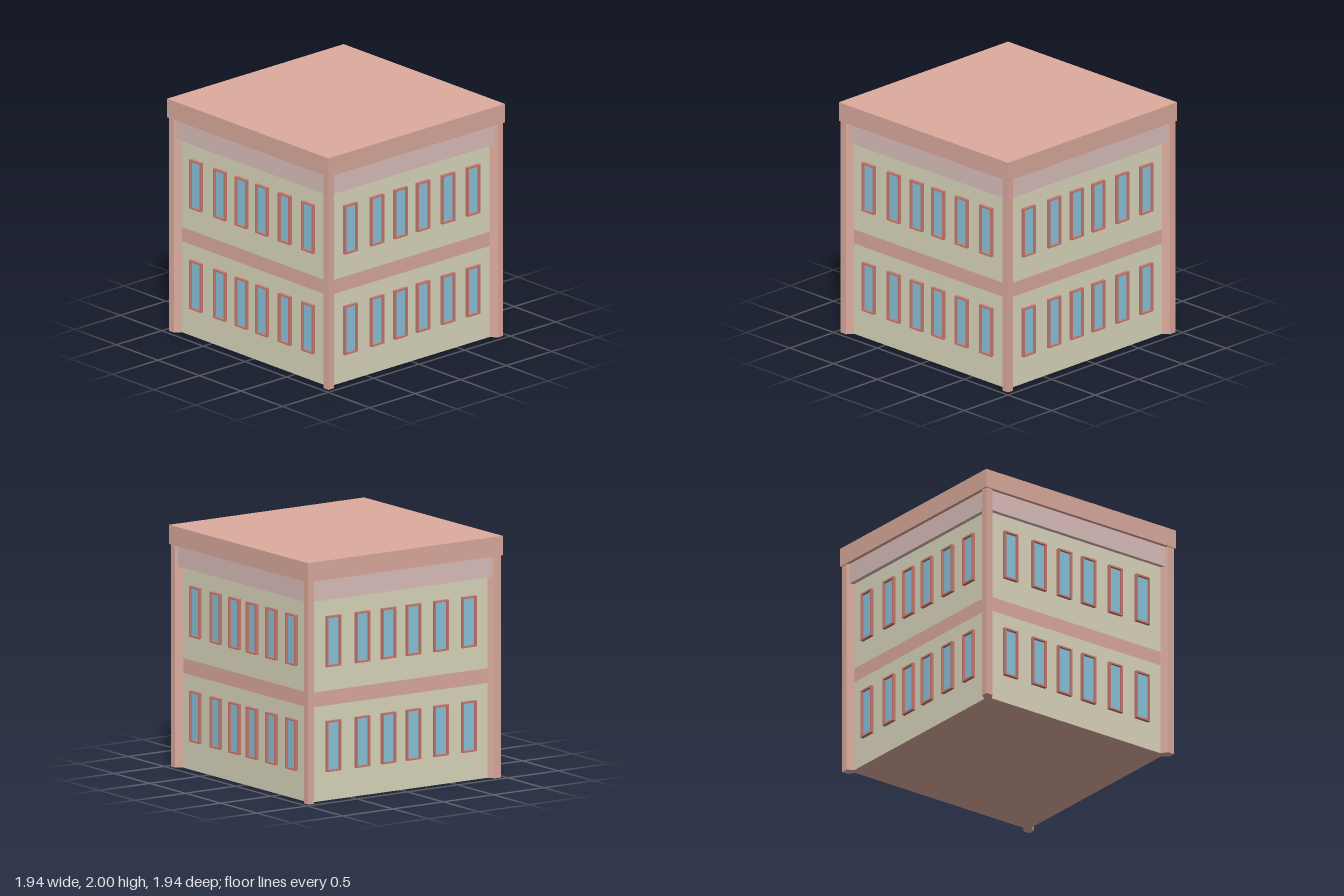
import * as THREE from 'three';

const material = (color) => new THREE.MeshStandardMaterial({ color });
const terracotta = material(0xdcab9d);
const cream = material(0xdcd8be);
const palePink = material(0xdcc0bc);
const trimRed = material(0xc97a70);
const glassBlue = material(0x8cc5dc);

const WALL = 0.905; // half width of the walls
const EAVES = 1.84; // underside of the roof slab

function add(parent, name, geometry, mat, x = 0, y = 0, z = 0) {
  const mesh = new THREE.Mesh(geometry, mat);
  mesh.name = name;
  mesh.position.set(x, y, z);
  parent.add(mesh);
  return mesh;
}

// Square block spanning two heights
function storey(parent, name, half, y0, y1, mat) {
  add(parent, name, new THREE.BoxGeometry(half * 2, y1 - y0, half * 2), mat, 0, (y0 + y1) / 2, 0);
}

function rectangle(PathType, w, h) {
  const x = w / 2, y = h / 2;
  return new PathType([[-x, -y], [x, -y], [x, y], [-x, y]].map((p) => new THREE.Vector2(...p)));
}

// Raised frame around a recessed pane
const frameShape = rectangle(THREE.Shape, 0.14, 0.42);
frameShape.holes.push(rectangle(THREE.Path, 0.112, 0.392));
const frameGeometry = new THREE.ExtrudeGeometry(frameShape, { depth: 0.027, bevelEnabled: false });
const paneGeometry = new THREE.BoxGeometry(0.114, 0.394, 0.012);

function createWindow(x, y) {
  const group = new THREE.Group();
  group.name = 'window';
  add(group, 'windowFrame', frameGeometry, trimRed);
  add(group, 'windowPane', paneGeometry, glassBlue);
  group.position.set(x, y, WALL);
  return group;
}

// Corner pillar with splayed inner sides, drawn in plan and stood upright
const pillarShape = new THREE.Shape(
  [[0.96, -0.96], [0.96, -0.9], [WALL, -0.862], [0.862, -0.862], [0.862, -WALL], [0.9, -0.96]]
    .map((p) => new THREE.Vector2(...p)));
const pillarGeometry = new THREE.ExtrudeGeometry(pillarShape, { depth: EAVES, bevelEnabled: false });
pillarGeometry.rotateX(-Math.PI / 2);

// One facade facing +z with the pillar at its right end
function createSide() {
  const side = new THREE.Group();
  side.name = 'facade';
  for (const y of [0.449, 1.316]) {
    for (const x of [-0.68, -0.39, -0.13, 0.117, 0.39, 0.668]) side.add(createWindow(x, y));
  }
  add(side, 'fascia', new THREE.BoxGeometry(1.776, EAVES - 1.665, 0.06), palePink,
    -0.004, (EAVES + 1.665) / 2, 0.91);
  add(side, 'cornerPillar', pillarGeometry, terracotta);
  return side;
}

export function createModel() {
  const building = new THREE.Group();
  building.name = 'building';
  storey(building, 'lowerWalls', WALL, 0, 0.785, cream);
  storey(building, 'floorBand', WALL, 0.785, 0.907, terracotta);
  storey(building, 'upperWalls', WALL, 0.907, EAVES, cream);
  storey(building, 'roofSlab', 0.97, EAVES, 2, terracotta);
  // Base plate closing the underside
  const base = add(building, 'basePlate', new THREE.PlaneGeometry(WALL * 2, WALL * 2), terracotta, 0, -0.0005, 0);
  base.rotation.x = Math.PI / 2;
  for (let i = 0; i < 4; i++) {
    const side = createSide();
    side.rotation.y = (i * Math.PI) / 2;
    building.add(side);
  }
  return building;
}
